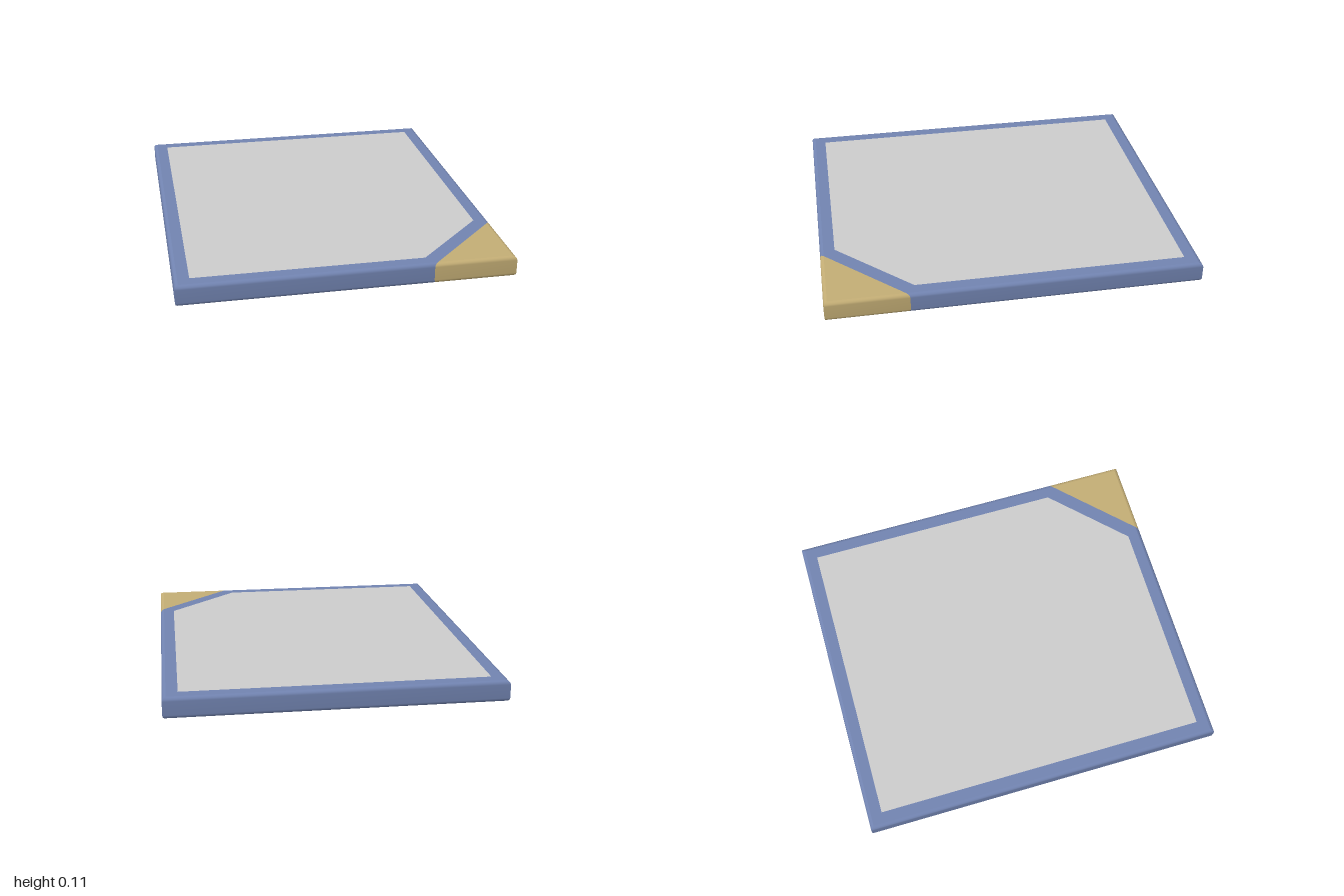
import * as THREE from 'three';
import { mergeGeometries } from 'three/addons/utils/BufferGeometryUtils.js';

const W = 0.88, D = 1, H = 0.112; // half width, half depth, height
const R = 0.02;                   // rounding of the long edges
const CUT = 0.44;                 // length of the corner piece along each side

// Outlines in (x, z), counter-clockwise from above, drawn in by i.
const bodyOutline = (i) => [
  [-W + i, D - i], [W - CUT + i, D - i], [W - i, D - CUT + i], [W - i, -D + i], [-W + i, -D + i],
];
const cornerOutline = (i) => [[W - CUT + i, D - i], [W - i, D - i], [W - i, D - CUT + i]];
const panelOutline = [[-0.8, 0.92], [0.41, 0.92], [0.8, 0.53], [0.8, -0.92], [-0.8, -0.92]];

// Flat face at height y, facing up or down, with an optional hole.
function cap(outline, y, up, hole) {
  const s = up ? -1 : 1;
  const toPoints = (list) => list.map(([x, z]) => new THREE.Vector2(x, s * z));
  const shape = new THREE.Shape(toPoints(outline));
  if (hole) shape.holes.push(new THREE.Path(toPoints(hole)));
  const g = new THREE.ShapeGeometry(shape).rotateX(s * Math.PI / 2).translate(0, y, 0);
  g.deleteAttribute('uv');
  return g;
}

// Profile of the side wall as [inset, height], rounded at bottom and top.
const profile = [];
for (let k = 0; k <= 3; k++) {
  const a = k * Math.PI / 6;
  profile.push([R * (1 - Math.sin(a)), R * (1 - Math.cos(a))]);
}
for (let k = 3; k >= 0; k--) profile.push([profile[k][0], H - profile[k][1]]);

// Side wall: one smooth strip per outline edge, so upright corners stay sharp.
function wall(outlineAt) {
  const rings = profile.map(([i, y]) => outlineAt(i).map(([x, z]) => [x, y, z]));
  const count = rings[0].length, strips = [];
  for (let e = 0; e < count; e++) {
    const pos = [], index = [];
    rings.forEach((ring, r) => {
      pos.push(...ring[e], ...ring[(e + 1) % count]);
      const a = 2 * r;
      if (r < rings.length - 1) index.push(a, a + 1, a + 3, a, a + 3, a + 2);
    });
    const g = new THREE.BufferGeometry();
    g.setAttribute('position', new THREE.Float32BufferAttribute(pos, 3));
    g.setIndex(index);
    g.computeVertexNormals();
    strips.push(g);
  }
  return mergeGeometries(strips);
}

function slab(outlineAt, hole) {
  return mergeGeometries([
    wall(outlineAt), cap(outlineAt(R), 0, false), cap(outlineAt(R), H, true, hole),
  ]);
}

export function createModel() {
  const group = new THREE.Group();
  group.name = 'tablet';
  const add = (name, geometry, color) => {
    const mesh = new THREE.Mesh(geometry, new THREE.MeshStandardMaterial({ color }));
    mesh.name = name;
    group.add(mesh);
  };

  // Blue body, open where the panel sits
  add('body', slab(bodyOutline, panelOutline), 0x7183b0);
  // Gold corner piece
  add('cornerPiece', slab(cornerOutline), 0xc2ac74);
  // Grey panel, flush with the frame
  add('panel', cap(panelOutline, H, true), 0xcccccc);
  return group;
}
